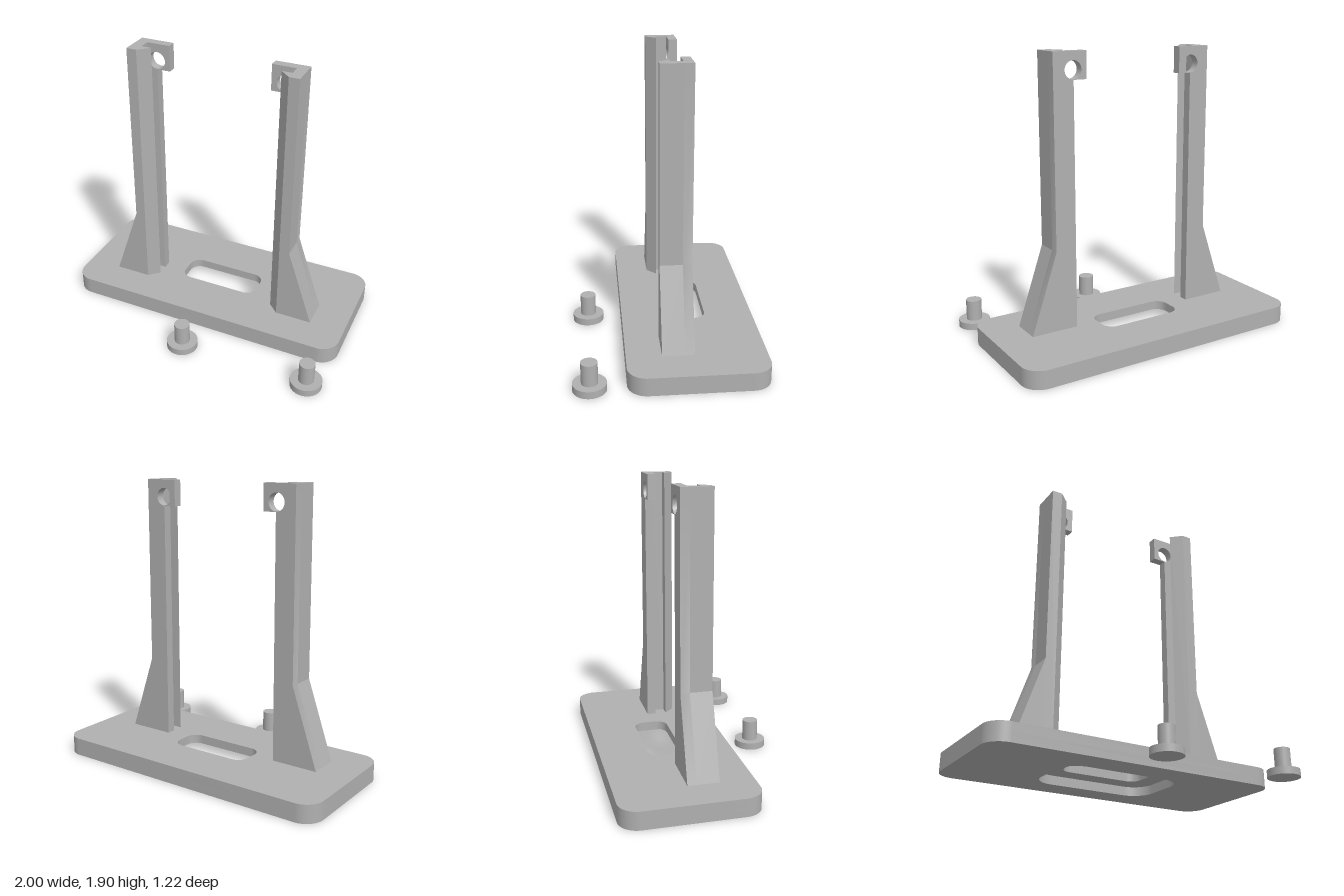
import * as THREE from 'three';
import { toCreasedNormals } from 'three/addons/utils/BufferGeometryUtils.js';

const PLATE_TOP = 0.12;   // top of the base plate
const POST_TOP = 1.9;
const BACK = -0.155;      // back, web and front planes of the posts
const WEB = -0.095;
const FRONT = 0.05;

export function createModel() {
  const model = new THREE.Group();
  model.name = 'cradleStand';
  const grey = new THREE.MeshStandardMaterial({ color: 0xb0b0b0 });
  grey.name = 'grey';

  function add(parent, name, geometry) {
    const mesh = new THREE.Mesh(geometry, grey);
    mesh.name = name;
    parent.add(mesh);
    return mesh;
  }

  // Rounded rectangle in plan; shape y is -z
  function roundedRect(x, z0, z1, r, Type = THREE.Shape) {
    const p = new Type();
    const b = -z1, t = -z0;
    p.moveTo(-x + r, b);
    p.lineTo(x - r, b);
    p.absarc(x - r, b + r, r, -Math.PI / 2, 0, false);
    p.lineTo(x, t - r);
    p.absarc(x - r, t - r, r, 0, Math.PI / 2, false);
    p.lineTo(-x + r, t);
    p.absarc(-x + r, t - r, r, Math.PI / 2, Math.PI, false);
    p.lineTo(-x, b + r);
    p.absarc(-x + r, b + r, r, Math.PI, Math.PI * 1.5, false);
    return p;
  }

  function extrude(shape, depth) {
    const g = new THREE.ExtrudeGeometry(shape, { depth, bevelEnabled: false, curveSegments: 16 });
    return toCreasedNormals(g, 0.5);
  }

  // Extrude a plan shape upwards from y0 to y1
  const extrudeUp = (shape, y0, y1) => extrude(shape, y1 - y0).rotateX(-Math.PI / 2).translate(0, y0, 0);
  // Extrude a front-facing shape from z0 to z1
  const extrudeForward = (shape, z0, z1) => extrude(shape, z1 - z0).translate(0, 0, z0);
  const polygon = (points) => new THREE.Shape(points.map(([x, y]) => new THREE.Vector2(x, y)));

  // Base plate: slot through the top, wider recess in the underside
  const base = new THREE.Group();
  base.name = 'basePlate';
  model.add(base);
  const layers = [
    ['plateLower', 0, 0.06, [0.415, -0.42, 0.07, 0.14]],
    ['plateUpper', 0.06, PLATE_TOP, [0.285, -0.29, -0.06, 0.075]],
  ];
  for (const [name, y0, y1, opening] of layers) {
    const shape = roundedRect(1, -0.61, 0.275, 0.125);
    shape.holes.push(roundedRect(...opening, THREE.Path));
    add(base, name, extrudeUp(shape, y0, y1));
  }

  // Mirrored channel posts
  for (const [side, s] of [['left', 1], ['right', -1]]) {
    const post = new THREE.Group();
    post.name = side + 'Post';
    model.add(post);

    // Back rail with the drilled tab at its top
    const rail = polygon([
      [0.76, PLATE_TOP], [0.58, 0.65], [0.58, POST_TOP], [0.35, POST_TOP],
      [0.35, 1.725], [0.44, 1.725], [0.44, PLATE_TOP],
    ].map(([x, y]) => [s * x, y]));
    const hole = new THREE.Path();
    hole.absarc(s * 0.443, 1.786, 0.058, 0, Math.PI * 2, false);
    rail.holes.push(hole);
    add(post, 'backRailWithTab', extrudeForward(rail, BACK, WEB));

    // Side wall and chamfered front lip
    const channel = polygon([
      [0.58, WEB], [0.51, WEB], [0.51, -0.018], [0.44, -0.018], [0.51, FRONT], [0.58, FRONT],
    ].map(([x, z]) => [s * x, -z]));
    add(post, 'channelWall', extrudeUp(channel, PLATE_TOP, POST_TOP));

    // Sloping outer brace
    const brace = polygon([[0.58, PLATE_TOP], [0.76, PLATE_TOP], [0.58, 0.65]].map(([x, y]) => [s * x, y]));
    add(post, 'brace', extrudeForward(brace, WEB, FRONT));
  }

  // Two loose pins with round heads
  for (const x of [0, 0.893]) {
    const pin = new THREE.Group();
    pin.name = 'pin';
    pin.position.set(x, 0, 0.5);
    model.add(pin);
    add(pin, 'pinHead', new THREE.CylinderGeometry(0.105, 0.105, 0.047, 48).translate(0, 0.0235, 0));
    add(pin, 'pinShaft', new THREE.CylinderGeometry(0.052, 0.052, 0.14, 40).translate(0, 0.116, 0));
  }

  return model;
}
